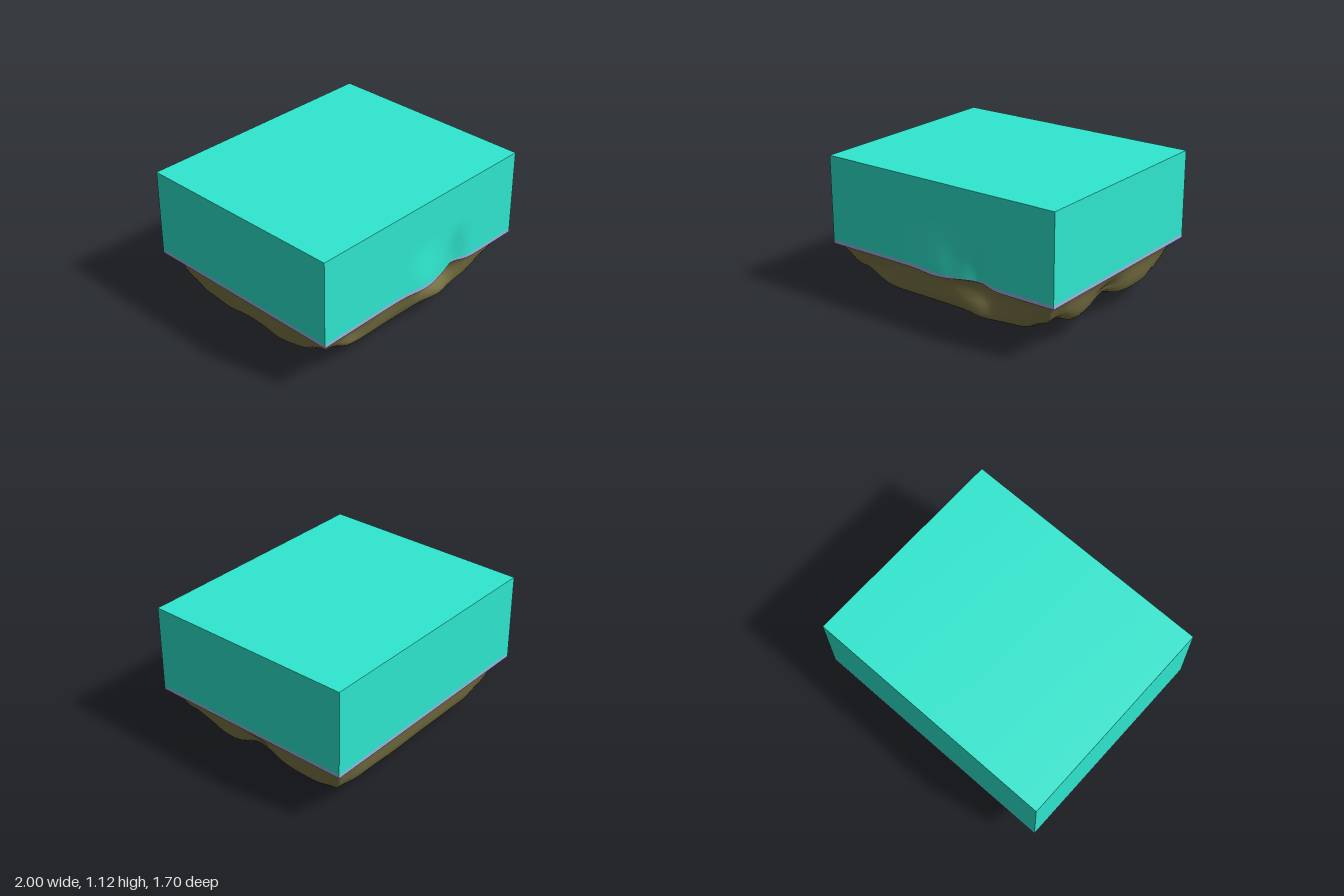
import * as THREE from 'three';

const TOP = 1.12, SEAM = 0.462, RIM = 0.435;
const HALF_X = 1, HALF_Z = 0.836, MID_Z = -0.015;
const bell = (d, r) => Math.exp(-(d * d) / (r * r));
const smooth = THREE.MathUtils.smoothstep;

// Swelling and hollow running down the front wall
function frontSwell(x, y) {
  const fade = 1 - smooth(y, 0.44, 0.82);
  return fade * (0.031 * bell(x - 0.01, 0.16) - 0.04 * bell(x - 0.37, 0.1));
}
const rimLift = x => 0.02 * bell(x - 0.27, 0.14);

// Lumps hanging under the rock (x, z, depth, radius); negative depths are hollows
const LUMPS = [
  [0.2, -0.4, 0.13, 0.19], [-0.25, 0.15, 0.09, 0.16], [0.02, -0.06, 0.075, 0.15],
  [-0.5, -0.1, 0.075, 0.19], [-0.58, 0.34, 0.06, 0.17], [0.5, -0.22, 0.045, 0.18],
  [0.2, 0.3, 0.05, 0.16], [-0.25, -0.4, 0.06, 0.17], [0.6, 0.22, 0.035, 0.16],
  [-0.76, -0.33, 0.035, 0.14], [-0.78, 0.2, 0.035, 0.14], [-0.55, -0.44, 0.035, 0.13],
  [0.88, 0, -0.1, 0.19], [0.86, 0.57, -0.1, 0.16], [-0.82, 0.66, -0.09, 0.16],
  [0.4, 0.05, -0.03, 0.13], [-0.1, -0.25, -0.02, 0.1]
];

// Wall profile: inset from the rim, height
const PROFILE = [[0, RIM], [0.025, 0.425], [0.045, 0.4], [0.062, 0.365], [0.078, 0.32],
  [0.094, 0.27], [0.112, 0.22], [0.134, 0.175], [0.154, 0.15], [0.175, 0.135]];

// Unit square outline, starting at the front left and running to the front right
const SIDE = 44;
const OUTLINE = [];
[[-1, 1], [1, 1], [1, -1], [-1, -1]].forEach(([u, v], i, all) => {
  const [u2, v2] = all[(i + 1) % 4];
  for (let k = 0; k < SIDE; k++) {
    const t = k / SIDE;
    OUTLINE.push([u + (u2 - u) * t, v + (v2 - v) * t]);
  }
});

function rockPoint(u, v, inset, height, scale) {
  // Corners grow rounder toward the floor
  const corner = smooth(Math.min(Math.abs(u), Math.abs(v)), 0.72, 1);
  const s = scale * (1 - 0.3 * inset * corner);
  let x = (HALF_X - inset) * u * s;
  let z = MID_Z + (HALF_Z - inset) * v * s;
  let y = height;
  const low = smooth(inset, 0.05, 0.17);
  for (const [lx, lz, depth, r] of LUMPS) y -= depth * low * bell(Math.hypot(x - lx, z - lz), r);

  // Front: overhang, bright knob below it and a shallow dent to the other side
  const front = smooth(v * scale, 0.75, 1);
  const body = smooth(inset, 0, 0.06);
  const swell = frontSwell(x, height) * (1 - low);
  const relief = 0.045 * bell(x - 0.31, 0.15) * bell(height - 0.18, 0.08)
    - 0.05 * bell(x - 0.2, 0.16) * bell(height - 0.36, 0.08)
    - 0.03 * bell(x + 0.62, 0.13) * bell(height - 0.29, 0.07);
  y += rimLift(x) * (1 - body) * front;

  // Side: hollow above the arch
  const side = smooth(u * scale, 0.75, 1);
  x -= 0.03 * side * bell(z, 0.15) * bell(height - 0.25, 0.07);
  z += front * (swell + body * relief);
  return [x, Math.max(y, 0), z];
}

// Skin a stack of closed rings, each given as [inset, height, scale]
function ringSkin(rings) {
  const pos = [], index = [], n = OUTLINE.length;
  for (const [inset, height, scale] of rings) {
    for (const [u, v] of OUTLINE) pos.push(...rockPoint(u, v, inset, height, scale));
  }
  for (let i = 0; i < rings.length - 1; i++) {
    for (let k = 0; k < n; k++) {
      const k2 = (k + 1) % n;
      const a = i * n + k, b = a + n, c = (i + 1) * n + k2, d = i * n + k2;
      index.push(a, b, c, a, c, d);
    }
  }
  const g = new THREE.BufferGeometry();
  g.setAttribute('position', new THREE.Float32BufferAttribute(pos, 3));
  g.setIndex(index);
  g.computeVertexNormals();
  return g;
}

// Box between two heights whose front follows the swelling
function slab(y0, y1, segY, lift) {
  const g = new THREE.BoxGeometry(2 * HALF_X, y1 - y0, 2 * HALF_Z, 100, segY, 1);
  g.translate(0, (y0 + y1) / 2, MID_Z);
  const p = g.attributes.position;
  for (let i = 0; i < p.count; i++) {
    if (p.getZ(i) < MID_Z) continue;
    const x = p.getX(i), y = p.getY(i);
    p.setZ(i, p.getZ(i) + frontSwell(x, y));
    if (lift && y < y0 + 0.001) p.setY(i, y + rimLift(x));
  }
  g.computeVertexNormals();
  return g;
}

export function createModel() {
  const model = new THREE.Group();
  model.name = 'floatingBlock';
  const paint = (name, color) => {
    const m = new THREE.MeshStandardMaterial({ color });
    m.name = name;
    return m;
  };
  const teal = paint('teal', 0x2fe8d0);
  const lavender = paint('lavender', 0xa3b4ea);
  const olive = paint('olive rock', 0x7f7848);
  const add = (name, geometry, material) => {
    const mesh = new THREE.Mesh(geometry, material);
    mesh.name = name;
    model.add(mesh);
  };

  add('upperBlock', slab(SEAM, TOP, 24, false), teal);
  add('seamStrip', slab(RIM, SEAM, 1, true), lavender);

  // Rock base: flared wall, then the lumpy underside closing at the centre
  add('rockWall', ringSkin(PROFILE.map(([inset, y]) => [inset, y, 1])), olive);
  const [inset, floor] = PROFILE[PROFILE.length - 1];
  const under = [];
  for (let i = 0; i <= 36; i++) under.push([inset, floor, 1 - i / 36]);
  add('rockUnderside', ringSkin(under), olive);
  return model;
}
